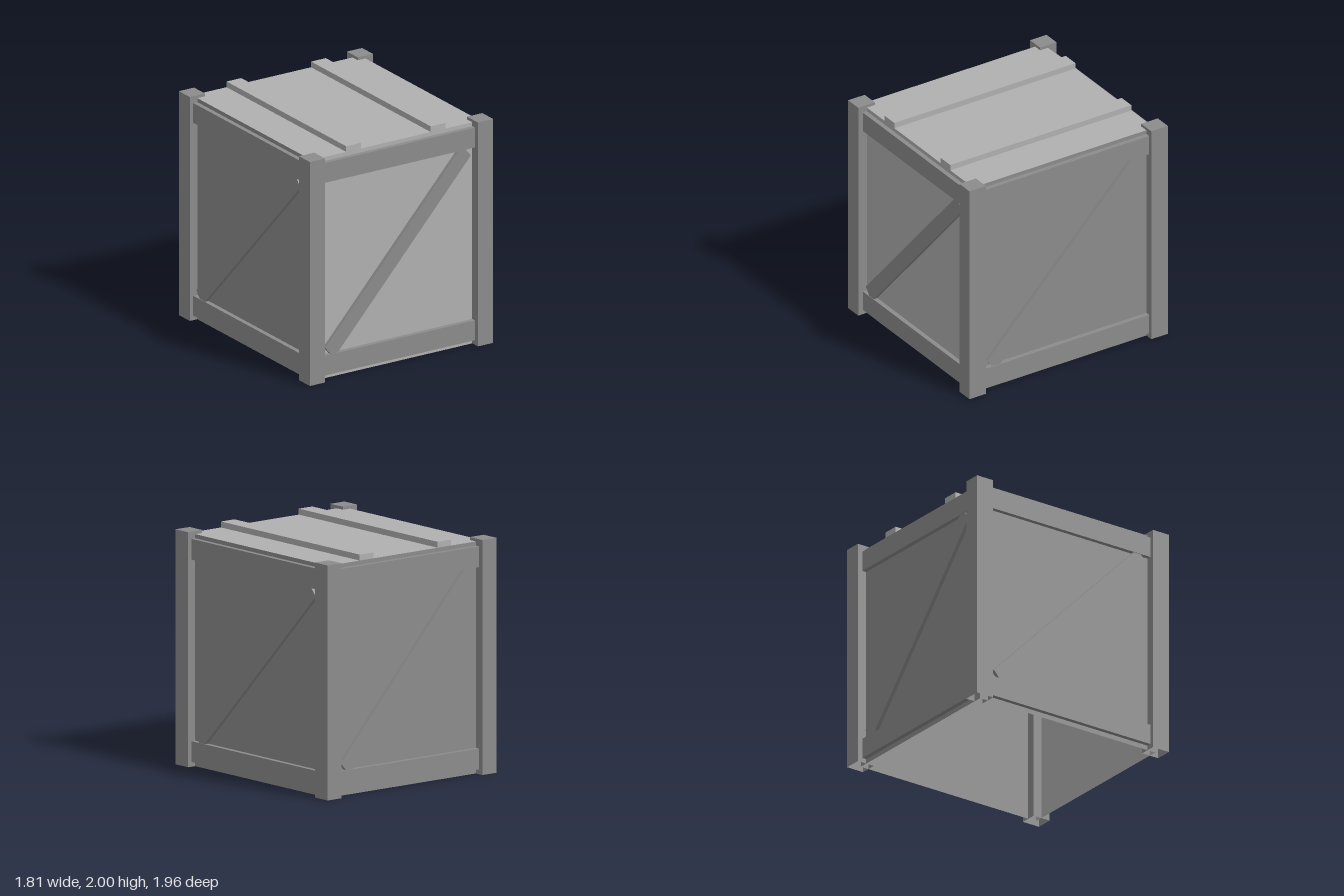
import * as THREE from 'three';

export function createModel() {
  const frame = new THREE.MeshStandardMaterial({ color: 0x8c8c8c, side: THREE.DoubleSide });
  frame.name = 'frame grey';
  const pale = new THREE.MeshStandardMaterial({ color: 0xb0b0b0, side: THREE.DoubleSide });
  pale.name = 'pale grey';

  const crate = new THREE.Group();
  crate.name = 'crate';

  const add = (parent, name, geometry, material, x, y, z) => {
    const mesh = new THREE.Mesh(geometry, material);
    mesh.name = name;
    mesh.position.set(x, y, z);
    parent.add(mesh);
    return mesh;
  };

  // Box without its bottom face, keeping one group per remaining side
  const openBox = (w, h, d) => {
    const g = new THREE.BoxGeometry(w, h, d);
    const index = Array.from(g.index.array);
    index.splice(18, 6);
    g.setIndex(index);
    g.clearGroups();
    [0, 1, 2, 4, 5].forEach((side, i) => g.addGroup(i * 6, 6, side));
    return g;
  };

  const halfX = 0.83, halfZ = 0.895, top = 1.95;

  // Panels: hollow shell open underneath, pale on the front and top
  add(crate, 'panels', openBox(halfX * 2, top, halfZ * 2),
    [frame, frame, pale, frame, pale, frame], 0, top / 2, 0);

  // Corner posts, open underneath
  for (const sx of [-1, 1]) {
    for (const sz of [-1, 1]) {
      const post = openBox(0.15, 1.975, 0.163);
      post.clearGroups();
      add(crate, 'cornerPost', post, frame, sx * 0.829, 1.975 / 2, sz * 0.8985);
    }
  }

  // Battens across the lid
  for (const sx of [-1, 1]) {
    add(crate, 'lidBatten', new THREE.BoxGeometry(0.145, 0.05, halfZ * 2), pale, sx * 0.417, 1.975, 0);
  }

  // Diagonal brace with skewed ends, stretched to suit the side's width
  const brace = (stretch) => {
    const corners = [[0.717, 1.676], [0.634, 1.779], [-0.717, 0.278], [-0.634, 0.175]];
    const shape = new THREE.Shape(corners.map(([x, y]) => new THREE.Vector2(x * stretch, y)));
    return new THREE.ExtrudeGeometry(shape, { depth: 0.033, bevelEnabled: false });
  };

  // Each side gets two rails and a brace, built facing +z and turned into place
  ['front', 'left', 'back', 'right'].forEach((name, i) => {
    const alongX = i % 2 === 0;
    const offset = alongX ? halfZ : halfX;
    const length = alongX ? 1.51 : 1.636;
    const side = new THREE.Group();
    side.name = name + 'Framing';
    side.rotation.y = i * Math.PI / 2;
    add(side, 'bottomRail', new THREE.BoxGeometry(length, 0.175, 0.04), frame, 0, 0.128, offset + 0.02);
    add(side, 'topRail', new THREE.BoxGeometry(length, 0.175, 0.04), frame, 0, 1.828, offset + 0.02);
    add(side, 'diagonalBrace', brace(alongX ? 1 : 1.086), frame, 0, 0, offset + 0.002);
    crate.add(side);
  });

  return crate;
}
